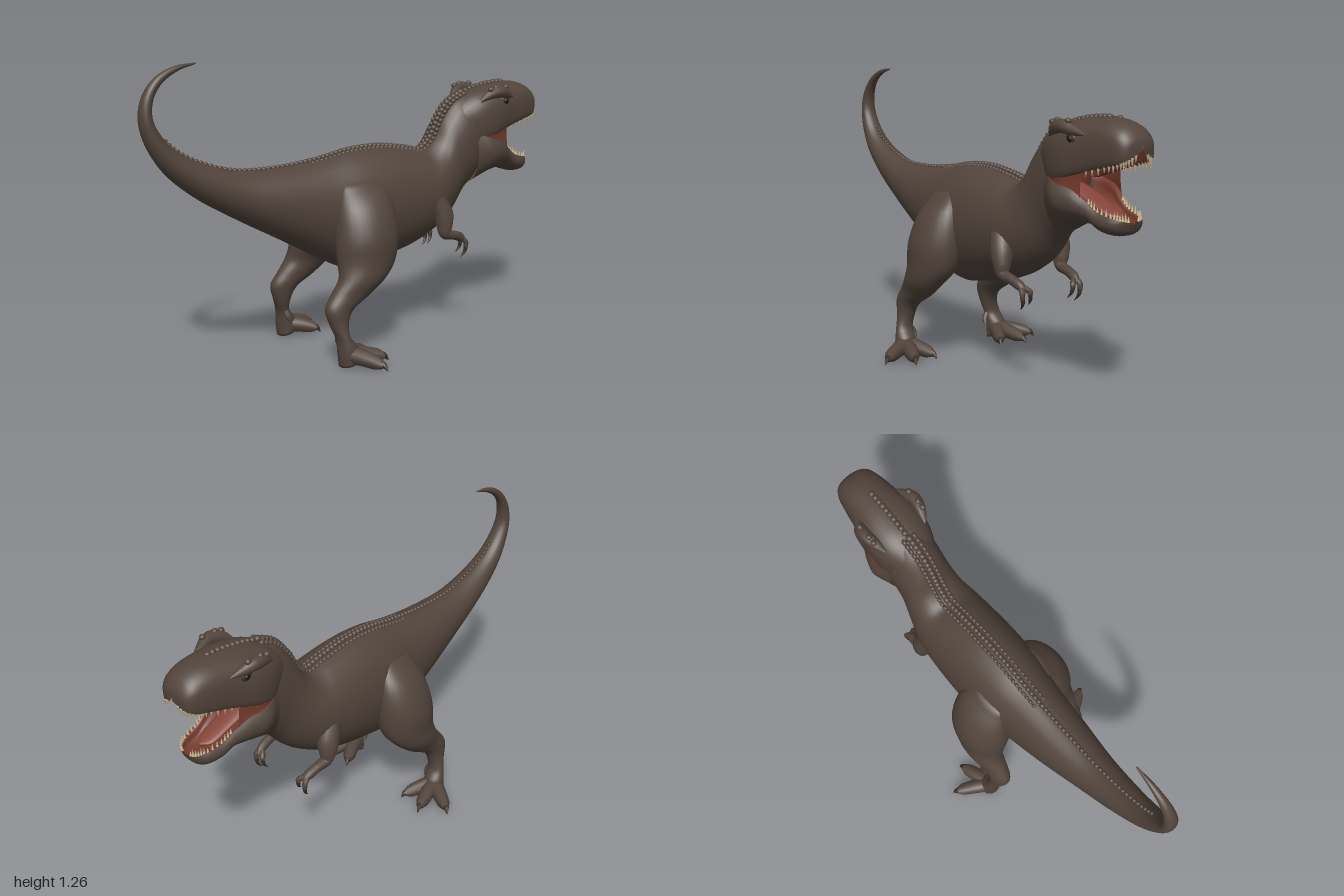
import * as THREE from 'three';
import { mergeGeometries } from 'three/addons/utils/BufferGeometryUtils.js';

const mat = (name, color, side = THREE.FrontSide) => {
  const m = new THREE.MeshStandardMaterial({ color, side });
  m.name = name;
  return m;
};
const V = (x, y, z) => new THREE.Vector3(x, y, z);

// Smooth rails through stations [topX, topY, bottomX, bottomY, halfWidth, centreZ]
function rails(st) {
  const top = new THREE.CatmullRomCurve3(st.map(s => V(s[0], s[1], s[4])));
  const bot = new THREE.CatmullRomCurve3(st.map(s => V(s[2], s[3], s[5] || 0)));
  const at = (t, v, u) => {
    const a = top.getPoint(t), b = bot.getPoint(t), k = (v + 1) / 2;
    return V(b.x + (a.x - b.x) * k, b.y + (a.y - b.y) * k, b.z + a.z * u);
  };
  return { top, at };
}

// Skin over the rails; without a profile the section is a closed ellipse
function loft(st, seg, profile) {
  const r = rails(st), closed = !profile;
  const pr = profile
    ? new THREE.SplineCurve(profile.map(p => new THREE.Vector2(...p))).getPoints(28).map(p => [p.x, p.y])
    : Array.from({ length: 28 }, (_, j) => [Math.cos(j * Math.PI / 14), Math.sin(j * Math.PI / 14)]);
  const n = pr.length, pos = [], idx = [];
  for (let i = 0; i <= seg; i++) for (const [v, u] of pr) pos.push(...r.at(i / seg, v, u).toArray());
  const m = closed ? n : n - 1;
  for (let i = 0; i < seg; i++) for (let j = 0; j < m; j++) {
    const a = i * n + j, b = i * n + (j + 1) % n;
    idx.push(a, b, a + n, b, b + n, a + n);
  }
  if (closed) {
    const c = (seg + 1) * n;
    pos.push(...r.at(0, 0, 0).toArray(), ...r.at(1, 0, 0).toArray());
    for (let j = 0; j < n; j++) {
      const k = (j + 1) % n;
      idx.push(c, k, j, c + 1, seg * n + j, seg * n + k);
    }
  }
  const g = new THREE.BufferGeometry();
  g.setAttribute('position', new THREE.Float32BufferAttribute(pos, 3));
  g.setIndex(idx);
  g.computeVertexNormals();
  return g;
}

// Tapering tube through points [x, y, z, radius]
function limb(pts, seg = 20, sides = 12) {
  const path = new THREE.CatmullRomCurve3(pts.map(p => V(p[0], p[1], p[2])));
  const rad = new THREE.CatmullRomCurve3(pts.map((p, i) => V(i, p[3], 0)));
  path.getUtoTmapping = u => u;
  const g = new THREE.TubeGeometry(path, seg, 1, sides), p = g.attributes.position;
  for (let i = 0; i <= seg; i++) {
    const c = path.getPoint(i / seg), r = Math.max(rad.getPoint(i / seg).y, 0.0005);
    for (let j = 0; j <= sides; j++) {
      const k = i * (sides + 1) + j;
      const q = V().fromBufferAttribute(p, k).sub(c).multiplyScalar(r).add(c);
      p.setXYZ(k, q.x, q.y, q.z);
    }
  }
  return g;
}

const mirrored = p => [...p, ...p.slice(0, -1).reverse().map(([v, u]) => [v, -u])];
const blob = (x, y, z, a, b, c) => new THREE.SphereGeometry(1, 16, 12).scale(a, b, c).translate(x, y, z);

const BODY = [
  [-.755, 1.258, -.755, 1.264, .003], [-.83, 1.235, -.84, 1.255, .012], [-.9, 1.19, -.925, 1.215, .02],
  [-.938, 1.13, -.98, 1.145, .028], [-.943, 1.06, -.997, 1.06, .035], [-.915, 1, -.975, .965, .043],
  [-.86, .94, -.905, .85, .055], [-.77, .885, -.78, .74, .07], [-.6, .83, -.6, .63, .093],
  [-.4, .822, -.4, .52, .125], [-.2, .84, -.22, .42, .15], [-.05, .865, -.07, .35, .175],
  [.1, .87, .07, .365, .18], [.25, .85, .25, .405, .175], [.34, .835, .38, .46, .165],
  [.4, .88, .48, .53, .14], [.45, .97, .56, .62, .122], [.51, 1.04, .62, .67, .12], [.58, 1.075, .65, .71, .118]];
const HEAD = [
  [.49, 1.01, .58, .82, .095], [.6, 1.08, .63, .86, .13], [.7, 1.105, .7, .885, .138], [.8, 1.115, .8, .915, .118],
  [.9, 1.11, .9, .94, .102], [.96, 1.085, .962, .955, .087], [.99, 1.05, .988, .97, .062], [1, 1.015, 1, 1, .005]];
const JAW = [
  [.59, .9, .6, .66, .12], [.66, .87, .69, .705, .152], [.74, .85, .76, .715, .132], [.8, .81, .81, .712, .106],
  [.85, .775, .86, .69, .095], [.92, .757, .92, .688, .078], [.952, .752, .945, .7, .052], [.965, .742, .958, .725, .006]];

export function createModel() {
  const root = new THREE.Group();
  root.name = 'dinosaur';
  const skin = mat('brown skin', 0x51443b), hide = mat('brown jaw skin', 0x51443b, THREE.DoubleSide);
  const red = mat('mouth red', 0x743a2e, THREE.DoubleSide), pink = mat('tongue', 0x84443a);
  const ivory = mat('tooth ivory', 0xcdbb92), dark = mat('claw brown', 0x352b25), black = mat('eye dark', 0x1c1613);
  const add = (name, geo, m) => {
    const mesh = new THREE.Mesh(geo, m);
    mesh.name = name;
    root.add(mesh);
  };

  // Trunk, neck and tail in one sweep
  add('body', loft(BODY, 110), skin);

  // Skull and lower jaw, each with a hollow lining
  add('skull', loft(HEAD, 40, mirrored([[-1, -.85], [-.85, -.95], [-.3, -1], [.3, -.95], [.7, -.74], [.93, -.4], [1, 0]])), hide);
  add('palate', loft(HEAD, 40, mirrored([[-1, .85], [-.85, .77], [-.2, .66], [.2, .4], [.3, 0]])), red);
  add('lowerJaw', loft(JAW, 40, mirrored([[1, .9], [.5, 1], [-.1, .97], [-.65, .75], [-.95, .4], [-1, 0]])), hide);
  add('mouthFloor', loft(JAW, 40, mirrored([[1, -.9], [.85, -.74], [.2, -.6], [0, 0]])), red);
  add('throat', blob(.605, .885, 0, .05, .12, .1), red);
  const gape = [[.61, .885, .61, .86, .13], [.66, .89, .67, .84, .14], [.72, .905, .73, .835, .128], [.775, .915, .785, .815, .112]];
  for (const s of [1, -1]) add('cheekSkin', loft(gape, 10, [[1, .92 * s], [0, .9 * s], [-1, .92 * s]]), red);
  add('tongue', loft([[.65, .86, .66, .8, .05], [.78, .805, .78, .775, .046], [.87, .768, .87, .745, .036], [.9, .755, .9, .748, .004]], 16), pink);

  // Teeth along both lips
  const teeth = [], upper = rails(HEAD), lower = rails(JAW);
  for (const s of [1, -1]) for (let i = 0; i < 13; i++) {
    const h = .026 + .01 * ((i * 7) % 3) / 2, k = i / 12;
    const a = upper.at(.44 + .49 * k, -.95, .84 * s), b = lower.at(.46 + .47 * k, .97, .83 * s);
    teeth.push(new THREE.ConeGeometry(.0065, h, 6).rotateX(Math.PI).translate(a.x, a.y - h * .4, a.z));
    teeth.push(new THREE.ConeGeometry(.006, h * .9, 6).translate(b.x, b.y + h * .35, b.z));
  }
  add('teeth', mergeGeometries(teeth), ivory);

  // Scutes down the spine, widening to three rows over the neck
  const scutes = [], spine = rails(BODY).top, crest = rails(HEAD).top;
  for (let i = 0; i < 74; i++) {
    const p = spine.getPointAt(.2 + .8 * i / 73), size = .008 + .007 * i / 73;
    scutes.push(blob(p.x, p.y, 0, size * 1.15, size, size));
    if (i > 30) for (const s of [1, -1]) scutes.push(blob(p.x, p.y - .006, s * .026, size, size * .8, size * .7));
  }
  for (let i = 0; i < 11; i++) {
    const p = crest.getPoint(.12 + .034 * i);
    scutes.push(blob(p.x, p.y, 0, .014, .011, .014));
  }
  add('backScutes', mergeGeometries(scutes), skin);

  for (const s of [1, -1]) {
    const flip = pts => pts.map(([x, y, z, r]) => [x, y, z * s, r]);

    // Brow, eye and nostril
    add('browRidge', limb(flip([[.61, 1.04, .105, .008], [.66, 1.072, .122, .024], [.71, 1.08, .13, .027], [.76, 1.066, .118, .02], [.81, 1.05, .104, .004]])), skin);
    for (let i = 0; i < 4; i++) add('browBump', blob(.65 + i * .03, 1.092 + (i % 2) * .008, s * .128, .014, .012, .013), skin);
    add('eyeSocket', blob(.745, 1.035, s * .117, .027, .022, .012), dark);
    add('eye', blob(.747, 1.035, s * .122, .013, .013, .011), black);
    add('nostril', blob(.957, 1.045, s * .071, .011, .007, .006), dark);

    // Hind leg: thigh, shin and ankle
    const leg = [
      [0, .76, -.16, .74, .03, .12], [.05, .68, -.2, .64, .085, .155], [.07, .55, -.22, .52, .115, .175],
      [.05, .43, -.22, .42, .098, .193], [-.01, .355, -.23, .365, .076, .213], [-.09, .29, -.27, .31, .056, .215],
      [-.18, .235, -.308, .25, .045, .22], [-.21, .185, -.29, .18, .04, .228], [-.213, .13, -.268, .12, .04, .243],
      [-.18, .085, -.265, .06, .046, .25], [-.18, .025, -.258, .004, .045, .25]];
    add('hindLeg', loft(leg.map(p => [...p.slice(0, 5), p[5] * s]), 50), skin);

    // Three spread toes with claws, and a dewclaw
    for (const [tx, tz] of [[-.13, .408], [-.048, .3], [-.08, .175]]) {
      const at = (k, y, r) => [-.22 + (tx + .22) * k, y, .25 + (tz - .25) * k, r];
      add('toe', limb(flip([at(0, .055, .04), at(.4, .046, .034), at(.72, .034, .028), at(.88, .026, .014), at(.92, .024, .002)])), skin);
      add('toeClaw', limb(flip([at(.78, .036, .016), at(.9, .028, .012), at(1, .006, .001)]), 8, 8), dark);
    }
    add('dewclaw', limb(flip([[-.24, .13, .215, .012], [-.235, .1, .197, .013], [-.22, .065, .193, .001]]), 10, 8), skin);

    // Small forearm with two clawed fingers
    add('arm', limb(flip([[.32, .64, .12, .045], [.36, .56, .145, .05], [.37, .51, .152, .038], [.375, .468, .15, .026],
      [.43, .452, .145, .021], [.475, .435, .14, .02], [.497, .415, .135, .008]]), 28), skin);
    for (const [z, d] of [[.148, 0], [.11, .015]]) {
      add('finger', limb(flip([[.475, .435, .138, .013], [.5, .412, z, .012], [.502, .385 + d, z, .009]]), 10, 8), skin);
      add('fingerClaw', limb(flip([[.502, .392 + d, z, .01], [.498, .365 + d, z - .004, .007], [.478, .34 + d, z - .01, .001]]), 8, 8), dark);
    }
  }
  return root;
}
